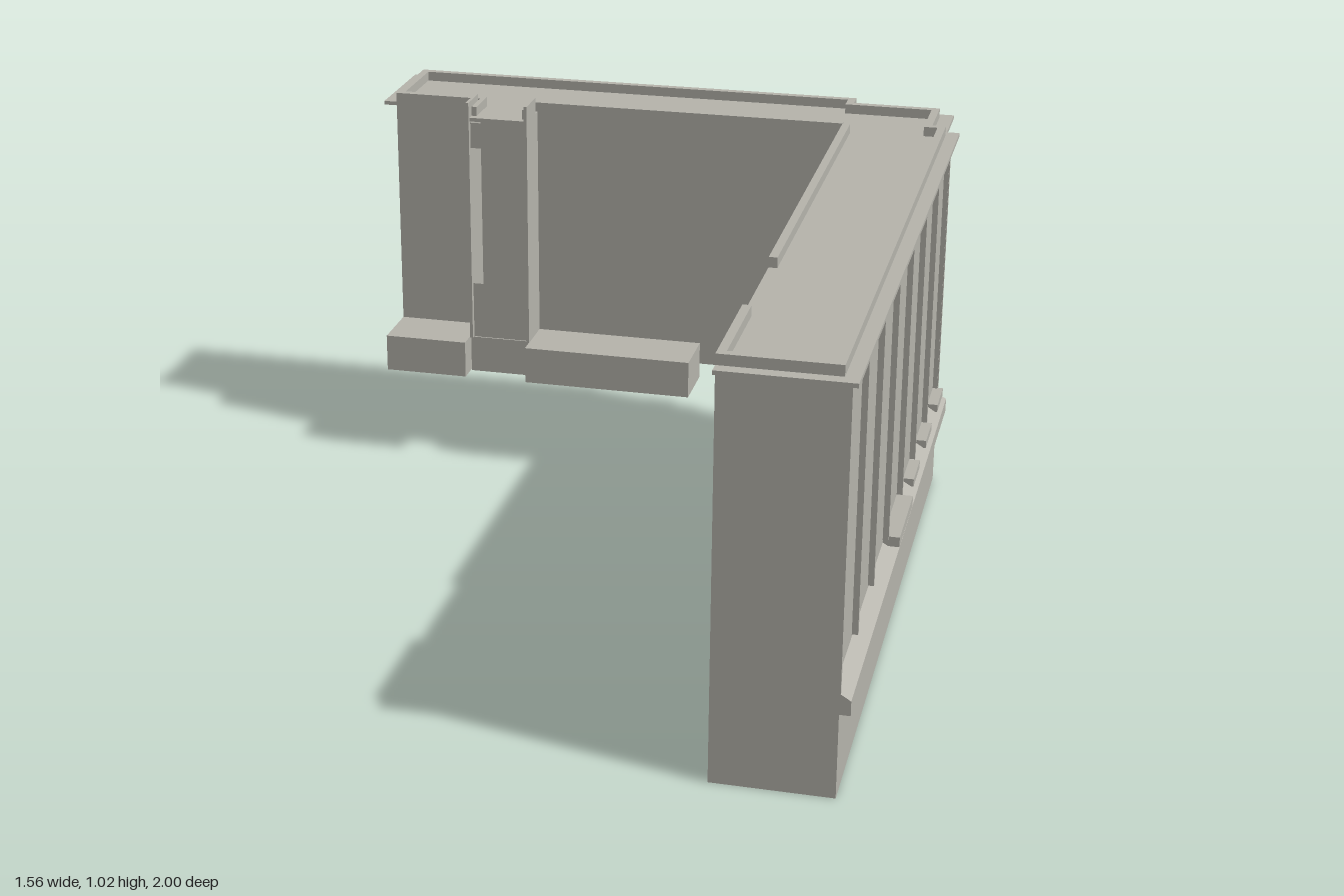
import * as THREE from 'three';

export function createModel() {
  const model = new THREE.Group();
  const plaster = new THREE.MeshStandardMaterial({ color: 0xb7b5ad, side: THREE.DoubleSide });
  plaster.name = 'grey plaster';

  const add = (name, geometry) => {
    const mesh = new THREE.Mesh(geometry, plaster);
    mesh.name = name;
    model.add(mesh);
    return mesh;
  };
  // Box given by its limits on each axis
  const block = (name, x0, x1, y0, y1, z0, z1) =>
    add(name, new THREE.BoxGeometry(x1 - x0, y1 - y0, z1 - z0)
      .translate((x0 + x1) / 2, (y0 + y1) / 2, (z0 + z1) / 2));
  const outline = (points) => new THREE.Shape(points.map(([x, y]) => new THREE.Vector2(x, y)));
  const T = 0.004; // shell thickness
  const EAVE = 0.97;

  // Long wing: open-bottomed shell
  block('longWingEndWall', 0.47, 0.75, 0, EAVE, 0.97 - T, 0.97);
  block('longWingBaseWall', 0.75 - T, 0.75, 0, 0.21, -0.73, 0.97);
  block('longWingUpperWall', 0.738 - T, 0.738, 0.21, EAVE, -0.73, 0.97);
  const inner = outline([[-0.97, 0], [0.41, 0], [0.55, 0.35], [0.70, 0.35], [0.70, EAVE], [-0.97, EAVE]]);
  add('longWingCourtWall', new THREE.ShapeGeometry(inner).rotateY(Math.PI / 2).translate(0.47, 0, 0));

  // Corner block
  block('cornerSideWall', 0.72 - T, 0.72, 0, EAVE, -0.89, -0.73);
  block('cornerStep', 0.72, 0.75, 0, EAVE, -0.735, -0.725);
  block('cornerBackWall', 0.47, 0.72, 0.25, EAVE, -0.89, -0.89 + T);

  // Pilasters, string course and sills of the long facade
  for (let i = 0; i < 8; i++) {
    const z = 0.965 - i * 0.2425;
    block('facadePilaster', 0.735, 0.752, i === 0 ? 0.21 : 0.27, EAVE, z - 0.005, z + 0.005);
  }
  const course = outline([[0.735, 0.205], [0.775, 0.205], [0.775, 0.24], [0.735, 0.265]]);
  add('stringCourse', new THREE.ExtrudeGeometry(course, { depth: 1.7, bevelEnabled: false }).translate(0, 0, -0.73));
  block('facadeSill', 0.735, 0.778, 0.255, 0.28, 0, 0.24);
  for (let i = 0; i < 3; i++) {
    const z = -0.12 - i * 0.245;
    block('facadeSmallSill', 0.735, 0.765, 0.25, 0.27, z - 0.12, z);
  }

  // Back wing shell
  block('backWall', -0.75, 0.47, 0.25, EAVE, -0.955, -0.955 + T);
  block('backWingEndWall', -0.75, -0.75 + T, 0.25, EAVE, -0.955, -0.70);
  block('backWingReturn', 0.47 - T, 0.47, 0.25, EAVE, -0.955, -0.89);
  block('backWingCourtWall', -0.75, 0.47, 0.29, EAVE, -0.70 - T, -0.70);

  // Back wall pilasters and sloping sills
  for (const x of [0.465, 0.23, -0.01, -0.25, -0.51]) {
    block('backPilaster', x - 0.005, x + 0.005, 0.54, EAVE, -0.965, -0.95);
  }
  for (const [x0, x1, reach] of [[-0.5, -0.27, 0.045], [-0.135, -0.03, 0.045], [0.23, 0.47, 0.015]]) {
    const sill = block('backSill', x0, x1, -0.003, 0.003, -reach, 0);
    sill.position.set(0, 0.547, -0.955);
    sill.rotation.x = -0.25;
  }

  // Open-bottomed ledges on the court side
  for (const [x0, x1, y0, y1] of [[-0.75, -0.525, 0.25, 0.35], [-0.355, 0.1, 0.25, 0.35], [0.34, 0.47, 0.29, 0.36]]) {
    block('ledgeTop', x0, x1, y1 - T, y1, -0.70, -0.55);
    block('ledgeFront', x0, x1, y0, y1, -0.55 - T, -0.55);
    block('ledgeSide', x0, x0 + T, y0, y1, -0.70, -0.55);
    block('ledgeSide', x1 - T, x1, y0, y1, -0.70, -0.55);
  }

  // Bay with two tall fins and stepped panels
  for (const x of [-0.518, -0.358]) block('bayFin', x - 0.004, x + 0.004, 0.35, 0.975, -0.70, -0.59);
  for (const x of [-0.518, -0.358]) block('bayFinTop', x - 0.004, x + 0.004, 0.975, 1.018, -0.68, -0.59);
  block('bayBase', -0.522, -0.355, 0.25, 0.35, -0.60 - T, -0.60);
  const lower = outline([[-0.515, 0.35], [-0.405, 0.35], [-0.405, 0.48], [-0.46, 0.505], [-0.515, 0.505]]);
  const upper = outline([[-0.515, 0.89], [-0.46, 0.89], [-0.405, 0.86], [-0.36, 0.86], [-0.36, 0.96], [-0.515, 0.96]]);
  add('bayLowerPanel', new THREE.ShapeGeometry(lower).translate(0, 0, -0.605));
  add('bayUpperPanel', new THREE.ShapeGeometry(upper).translate(0, 0, -0.605));

  // Roof slab with projecting cornice (points are x, -z)
  const roof = outline([
    [-0.785, 0.975], [0.49, 0.975], [0.49, 0.93], [0.735, 0.93], [0.735, 0.77], [0.768, 0.77],
    [0.768, -1], [0.47, -1], [0.47, 0.70], [-0.355, 0.70], [-0.355, 0.60], [-0.522, 0.60],
    [-0.522, 0.70], [-0.785, 0.70],
  ]);
  add('roofCornice', new THREE.ExtrudeGeometry(roof, { depth: 0.01, bevelEnabled: false })
    .rotateX(-Math.PI / 2).translate(0, 0.965, 0));

  // Parapet strips
  const W = 0.02;
  for (const [x0, x1, z0, z1] of [
    [0.47, 0.735, 0.97 - W, 0.97],
    [0.735 - W, 0.735, -0.74, 0.97],
    [0.47, 0.47 + W, 0.68, 0.97],
    [0.47, 0.47 + W, -0.70, 0.37],
    [0.70 - W, 0.70, -0.90, -0.74],
    [0.70 - W, 0.735, -0.74, -0.74 + W],
    [0.47, 0.70, -0.90, -0.90 + W],
    [0.47 - W, 0.47, -0.945, -0.88],
    [-0.75, 0.47, -0.945, -0.945 + W],
    [-0.75, -0.75 + W, -0.945, -0.70],
    [-0.75, -0.50, -0.70 - W, -0.70],
    [-0.375, 0.47, -0.70 - W, -0.70],
    [-0.514, -0.50, -0.70, -0.62],
    [-0.375, -0.362, -0.70, -0.62],
  ]) block('parapet', x0, x1, 0.97, 1.0, z0, z1);

  return model;
}
